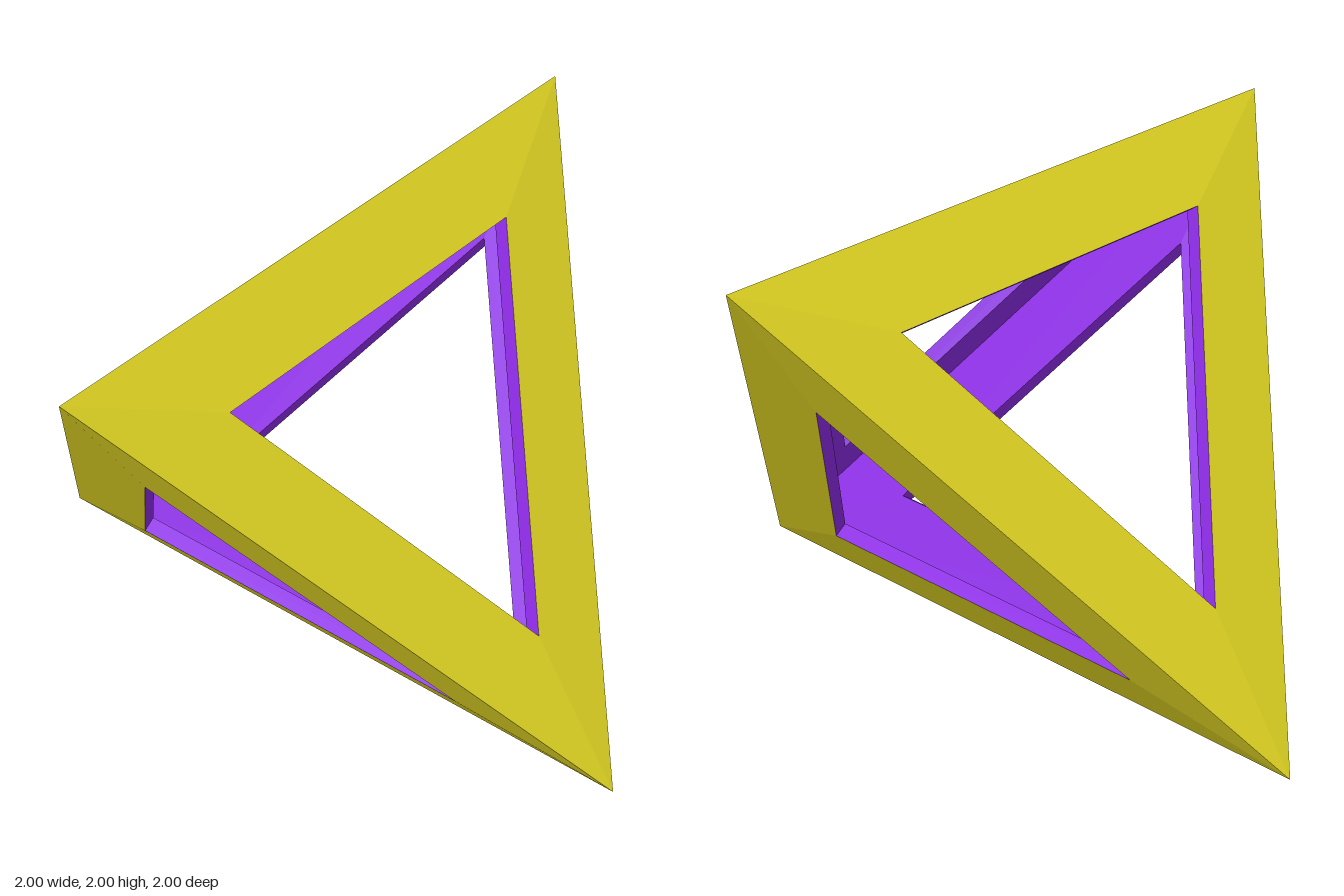
import * as THREE from 'three';

// Three-fold ring of points: one coordinate is odd, the other two are main
const ring = (main, odd) => [0, 1, 2].map(k => [0, 1, 2].map(i => (i === k ? odd : main)));

// Flat band of quads between two triangular rings
function band(from, to) {
  const pos = [];
  for (let k = 0; k < 3; k++) {
    const n = (k + 1) % 3;
    for (const p of [from[k], from[n], to[n], from[k], to[n], to[k]]) pos.push(...p);
  }
  const geo = new THREE.BufferGeometry();
  geo.setAttribute('position', new THREE.Float32BufferAttribute(pos, 3));
  geo.computeVertexNormals();
  return geo;
}

export function createModel() {
  const model = new THREE.Group();
  model.name = 'hollowTetrahedronFrame';
  const yellow = new THREE.MeshStandardMaterial({ color: 0xe3d824, flatShading: true });
  const purple = new THREE.MeshStandardMaterial({ color: 0x8a2be2, flatShading: true });

  // Corners and hole edge of one side, on the outer and inner skin
  const outerCorner = ring(1, -1);
  const outerHole = ring(0.727, -0.417);
  const innerHole = ring(0.69, -0.454);
  const innerCorner = ring(0.963, -0.963);

  const parts = [
    ['outerSkin', band(outerCorner, outerHole), yellow],
    ['holeWall', band(outerHole, innerHole), purple],
    ['innerSkin', band(innerHole, innerCorner), purple],
  ];

  // The other three sides are half turns about each axis
  const turns = [[0, 0, 0], [Math.PI, 0, 0], [0, Math.PI, 0], [0, 0, Math.PI]];
  turns.forEach((turn, i) => {
    const side = new THREE.Group();
    side.name = `side${i + 1}`;
    for (const [name, geo, mat] of parts) {
      const mesh = new THREE.Mesh(geo, mat);
      mesh.name = name;
      side.add(mesh);
    }
    side.rotation.set(...turn);
    side.position.y = 1;
    model.add(side);
  });
  return model;
}
